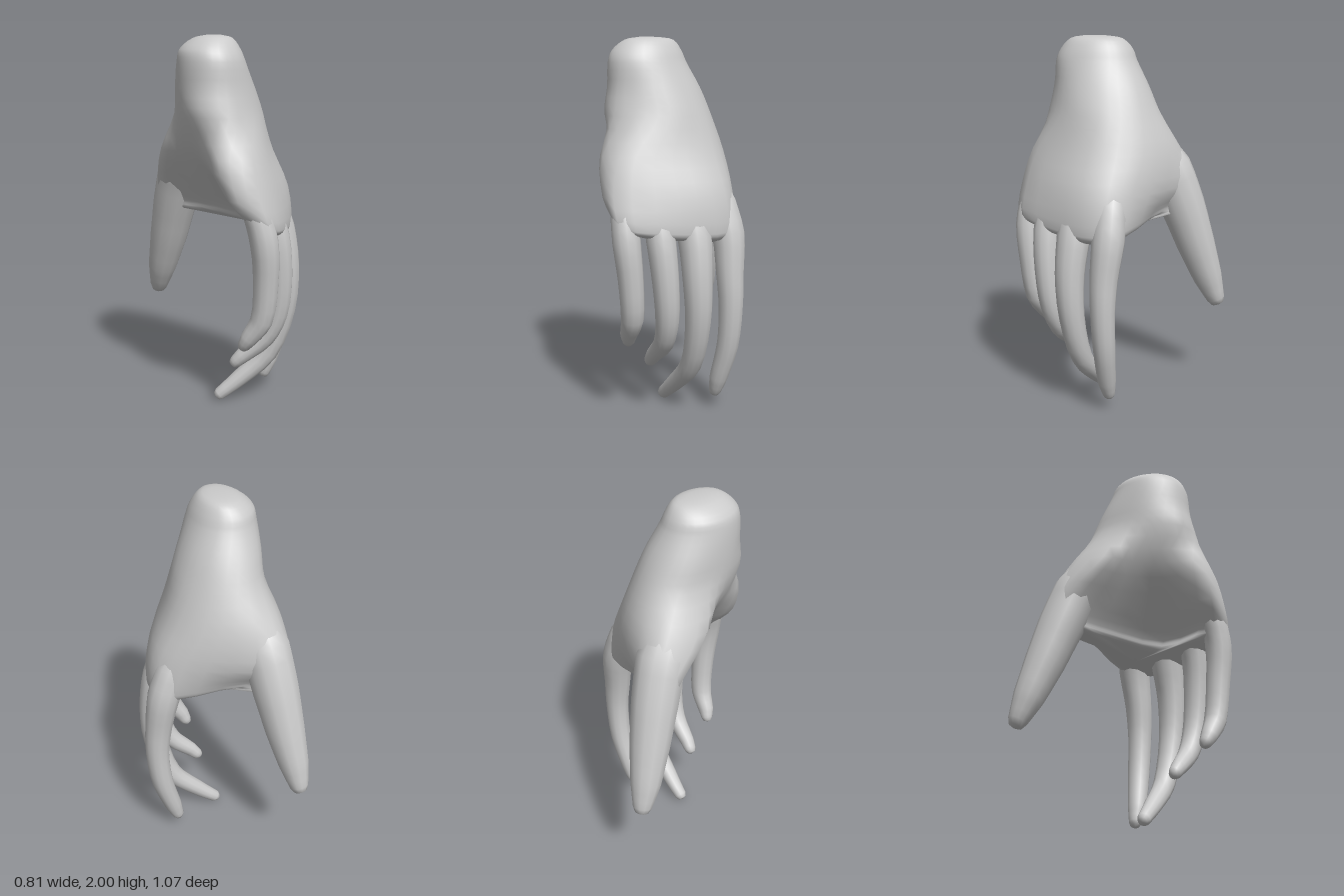
import * as THREE from 'three';

const V = (x, y, z) => new THREE.Vector3(x, y, z);
const material = new THREE.MeshStandardMaterial({ color: 0xcccccc });

// Closed smooth skin over equal rings running top to bottom, fanned to a point at each end
function skin(name, rings, topPoint, bottomPoint) {
  const n = rings[0].length, last = (rings.length - 1) * n, end = rings.length * n;
  const points = [...rings.flat(), topPoint, bottomPoint];
  const index = [];
  for (let j = 0; j < n; j++) {
    const k = (j + 1) % n;
    for (let i = 0; i < last; i += n) {
      index.push(i + j, i + k, i + n + j, i + k, i + n + k, i + n + j);
    }
    index.push(end, k, j, end + 1, last + j, last + k);
  }
  const geometry = new THREE.BufferGeometry().setFromPoints(points);
  geometry.setIndex(index);
  geometry.computeVertexNormals();
  const mesh = new THREE.Mesh(geometry, material);
  mesh.name = name;
  return mesh;
}

// Palm and wrist: ten-point sections, smoothed around and then down the hand
function palm() {
  const ellipse = (y, cx, cz, rx, rz) => Array.from({ length: 10 }, (_, i) => {
    const a = (i / 10) * Math.PI * 2;
    return V(cx - rx * Math.cos(a), y, cz - rz * Math.sin(a));
  });
  // x, z pairs: thumb side, web, index edge, back, little-finger edge, hollow
  const section = (y, xz, drop = 0) => Array.from({ length: 10 }, (_, i) =>
    V(xz[2 * i], y - drop * Math.max(0, xz[2 * i]), xz[2 * i + 1]));
  const base = section(1.09,
    [-.34, -.27, -.28, -.37, -.12, -.25, .25, -.155, .345, -.03, .295, .24, .14, .515, .04, .46, .1, .16, -.15, -.12], 0.25);
  const heart = V(0.15, 0.99, -0.02);
  const inset = (t, drop) => base.map(p => p.clone().lerp(heart, t).setY(p.y - drop));
  const sections = [
    ellipse(2.0, -0.09, 0.15, 0.04, 0.06),
    ellipse(1.985, -0.095, 0.145, 0.1, 0.145),
    ellipse(1.93, -0.11, 0.15, 0.155, 0.2),
    ellipse(1.87, -0.105, 0.15, 0.175, 0.225),
    section(1.74, [-.285, .1, -.25, -.05, -.15, -.135, 0, -.12, .1, 0, .12, .16, .055, .3, -.06, .38, -.18, .36, -.265, .25]),
    section(1.6, [-.285, .04, -.24, -.13, -.13, -.205, .04, -.165, .15, -.03, .17, .14, .09, .31, -.05, .41, -.19, .37, -.265, .22]),
    section(1.4, [-.345, -.03, -.29, -.26, -.14, -.3, .11, -.2, .235, -.02, .2, .23, .06, .46, -.11, .46, -.18, .26, -.24, .1]),
    section(1.2, [-.36, -.22, -.29, -.38, -.13, -.32, .21, -.175, .325, -.02, .27, .24, .09, .52, -.06, .48, -.02, .2, -.18, -.04]),
    base,
    inset(0.1, 0.035),
    inset(0.35, 0.055),
  ];
  const around = 30, down = 30;
  const smooth = sections.map(s => {
    const curve = new THREE.CatmullRomCurve3(s, true);
    return Array.from({ length: around }, (_, i) => curve.getPoint(i / around));
  });
  const columns = smooth[0].map((_, i) => new THREE.CatmullRomCurve3(smooth.map(s => s[i])));
  const rings = Array.from({ length: down + 1 }, (_, i) => columns.map(c => c.getPoint(i / down)));
  return skin('palm', rings, V(-0.09, 2.0, 0.15), heart);
}

// Finger: round sections along a bent path of [x, y, z, radius] joints, rooted inside the palm
function finger(name, joints) {
  const curve = new THREE.CatmullRomCurve3(joints.map(j => V(j[0], j[1], j[2])));
  const spans = joints.length - 1, steps = spans * 3, sides = 12;
  const rings = [];
  const addRing = (center, dir, r) => {
    const back = V(0, 0, -1).addScaledVector(dir, dir.z).normalize();
    const side = back.clone().cross(dir);
    rings.push(Array.from({ length: sides }, (_, k) => {
      const a = (k / sides) * Math.PI * 2;
      return center.clone().addScaledVector(side, r * Math.cos(a)).addScaledVector(back, r * Math.sin(a));
    }));
  };
  for (let i = 0; i <= steps; i++) {
    const t = i / steps, s = Math.min(Math.floor(t * spans + 1e-6), spans - 1);
    const r = THREE.MathUtils.lerp(joints[s][3], joints[s + 1][3], t * spans - s);
    addRing(curve.getPoint(t), curve.getTangent(t), r);
  }
  // rounded tip
  const tip = curve.getPoint(1), dir = curve.getTangent(1), r = joints[spans][3];
  addRing(tip.clone().addScaledVector(dir, r * 0.6), dir, r * 0.7);
  return skin(name, rings, curve.getPoint(0), tip.clone().addScaledVector(dir, r * 0.85));
}

export function createModel() {
  const hand = new THREE.Group();
  hand.name = 'hand';
  hand.add(
    palm(),
    finger('thumb', [
      [-.14, 1.62, .02, .04], [-.19, 1.45, -.12, .09], [-.22, 1.28, -.225, .132], [-.255, 1.07, -.305, .125],
      [-.29, .85, -.375, .108], [-.325, .65, -.44, .083], [-.345, .52, -.485, .052]]),
    finger('indexFinger', [
      [.14, 1.35, -.05, .04], [.235, 1.14, -.065, .085], [.29, .98, -.075, .088], [.32, .78, -.062, .075],
      [.332, .6, -.06, .066], [.31, .38, -.06, .06], [.25, .18, -.05, .05], [.222, .095, -.05, .035]]),
    finger('middleFinger', [
      [.11, 1.35, .13, .04], [.205, 1.14, .13, .085], [.26, .98, .132, .09], [.295, .78, .142, .08],
      [.292, .54, .135, .069], [.21, .28, .115, .058], [.06, .13, .1, .047], [-.055, .035, .09, .035]]),
    finger('ringFinger', [
      [.05, 1.35, .28, .04], [.15, 1.14, .295, .075], [.205, .98, .31, .077], [.232, .76, .302, .07],
      [.222, .56, .285, .063], [.165, .42, .265, .055], [.05, .315, .245, .042], [.01, .275, .235, .034]]),
    finger('littleFinger', [
      [0, 1.35, .4, .04], [.08, 1.14, .45, .07], [.12, .98, .465, .073], [.132, .78, .45, .066],
      [.115, .57, .43, .06], [.055, .47, .41, .046], [.03, .425, .395, .034]]),
  );
  return hand;
}
